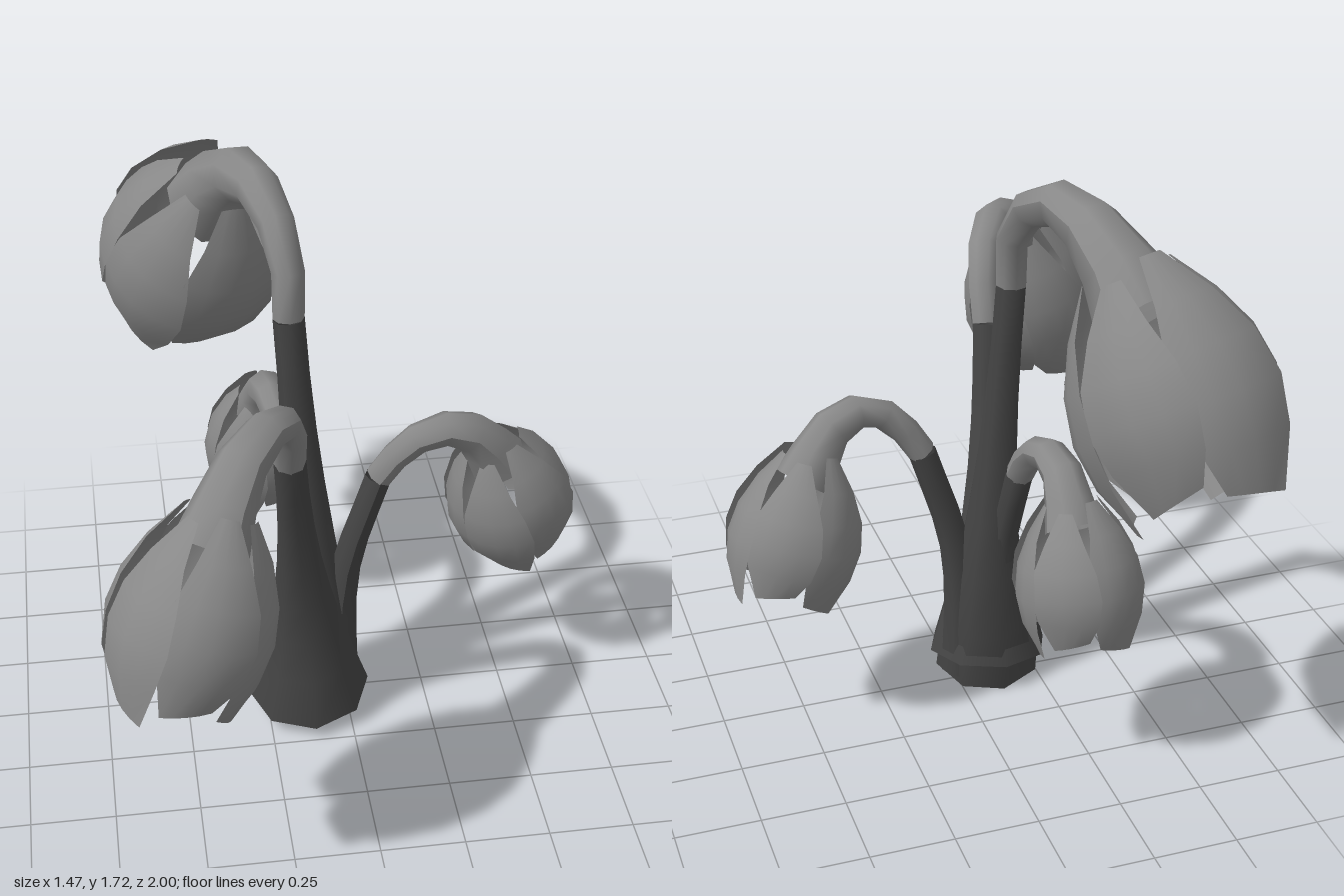
import * as THREE from 'three';

const V = (x, y, z) => new THREE.Vector3(x, y, z);

// Eight-sided tube whose radius follows a rule along its length
function taperedTube(name, points, segments, radiusAt, material) {
  const curve = new THREE.CatmullRomCurve3(points);
  const geo = new THREE.TubeGeometry(curve, segments, 1, 8, false);
  const pos = geo.attributes.position;
  const p = V(0, 0, 0);
  for (let i = 0; i < pos.count; i++) {
    const u = Math.floor(i / 9) / segments;
    const c = curve.getPointAt(u);
    p.fromBufferAttribute(pos, i).sub(c).multiplyScalar(radiusAt(u)).add(c);
    pos.setXYZ(i, p.x, p.y, p.z);
  }
  geo.computeVertexNormals();
  const mesh = new THREE.Mesh(geo, material);
  mesh.name = name;
  return mesh;
}

// Curved petal: bulging profile, narrow at the crown, ragged at the mouth
function petalGeometry(angle, length, radius, index) {
  const rows = 5;
  const geo = new THREE.PlaneGeometry(1, 1, 4, rows);
  const pos = geo.attributes.position;
  const start = (index % 3) * 0.03 - 0.03;
  const reach = 0.95 + (index % 2) * 0.07;
  for (let i = 0; i < pos.count; i++) {
    const side = pos.getX(i) * 2;
    const t = Math.floor(i / 5) / rows;
    const bulge = Math.sin(0.44 + t * 1.87);
    const a = angle + side * 0.6 * Math.sin(0.45 + t * 1.95);
    // one edge lies over the neighbour, the other tucks under
    const r = radius * bulge * (1 + 0.04 * side);
    const ragged = t === 1 ? 0.035 * side * (index % 2 ? 1 : -1) : 0;
    const y = -length * (start + t * (reach - start) + ragged);
    pos.setXYZ(i, Math.sin(a) * r, y, Math.cos(a) * r);
  }
  geo.computeVertexNormals();
  return geo;
}

// Hanging bell of six overlapping petals between crown and mouth
function flowerHead(name, crown, mouth, radius, turn, material) {
  const head = new THREE.Group();
  head.name = name;
  const axis = mouth.clone().sub(crown);
  const length = axis.length();
  for (let i = 0; i < 6; i++) {
    const petal = new THREE.Mesh(petalGeometry(turn + i * Math.PI / 3, length, radius, i), material);
    petal.name = 'petal';
    head.add(petal);
  }
  head.position.copy(crown);
  head.quaternion.setFromUnitVectors(V(0, -1, 0), axis.normalize());
  return head;
}

export function createModel() {
  const model = new THREE.Group();
  model.name = 'droopingFlowers';
  const dark = new THREE.MeshStandardMaterial({ color: 0x444444, side: THREE.DoubleSide });
  dark.name = 'darkStem';
  const light = new THREE.MeshStandardMaterial({ color: 0x888888, side: THREE.DoubleSide });
  light.name = 'paleFlower';

  // Flared stem, arched neck and flower head
  function addPlant(name, stem, arch, crown, mouth, { flare, tip, radius, turn }) {
    const neck = [stem[stem.length - 1], ...arch, crown.clone().lerp(mouth, 0.2)];
    const stemRadius = u => tip + (flare - tip) * (1 - u) ** 2.3;
    const neckRadius = u => tip + (radius * 0.47 - tip) * u ** 2.2;
    model.add(
      taperedTube(name + 'Stem', stem, 7, stemRadius, dark),
      taperedTube(name + 'Neck', neck, 6, neckRadius, light),
      flowerHead(name + 'FlowerHead', crown, mouth, radius, turn, light),
    );
  }

  // Tall plant arching backwards
  addPlant('tall',
    [V(-0.12, 0.01, 0.06), V(-0.1, 0.32, 0), V(-0.155, 1.32, -0.025)],
    [V(-0.157, 1.5, -0.045), V(-0.205, 1.63, -0.2), V(-0.27, 1.59, -0.42)],
    V(-0.3, 1.54, -0.51), V(-0.43, 1, -0.82),
    { flare: 0.17, tip: 0.046, radius: 0.29, turn: 0.3 });

  // Middle plant arching forwards
  addPlant('front',
    [V(-0.12, 0.045, 0.06), V(-0.135, 0.33, 0.1), V(-0.195, 1.05, 0.3)],
    [V(-0.205, 1.2, 0.37), V(-0.26, 1.285, 0.48), V(-0.36, 1.25, 0.61)],
    V(-0.42, 1.18, 0.7), V(-0.58, 0.69, 0.83),
    { flare: 0.188, tip: 0.046, radius: 0.225, turn: 0.1 });

  // Short plant on the left
  addPlant('left',
    [V(-0.03, 0.01, 0.02), V(0, 0.45, 0.02), V(0.1, 0.79, 0.027)],
    [V(0.17, 0.89, 0.04), V(0.265, 0.95, 0.045), V(0.38, 0.915, 0.02)],
    V(0.45, 0.86, -0.01), V(0.57, 0.46, -0.09),
    { flare: 0.075, tip: 0.042, radius: 0.195, turn: 0.6 });

  // Short plant at the back
  addPlant('back',
    [V(-0.12, 0.02, -0.02), V(-0.125, 0.45, -0.05), V(-0.155, 0.75, -0.12)],
    [V(-0.165, 0.85, -0.19), V(-0.18, 0.895, -0.28), V(-0.19, 0.88, -0.37)],
    V(-0.19, 0.83, -0.45), V(-0.2, 0.43, -0.54),
    { flare: 0.08, tip: 0.042, radius: 0.183, turn: 0.45 });

  return model;
}
